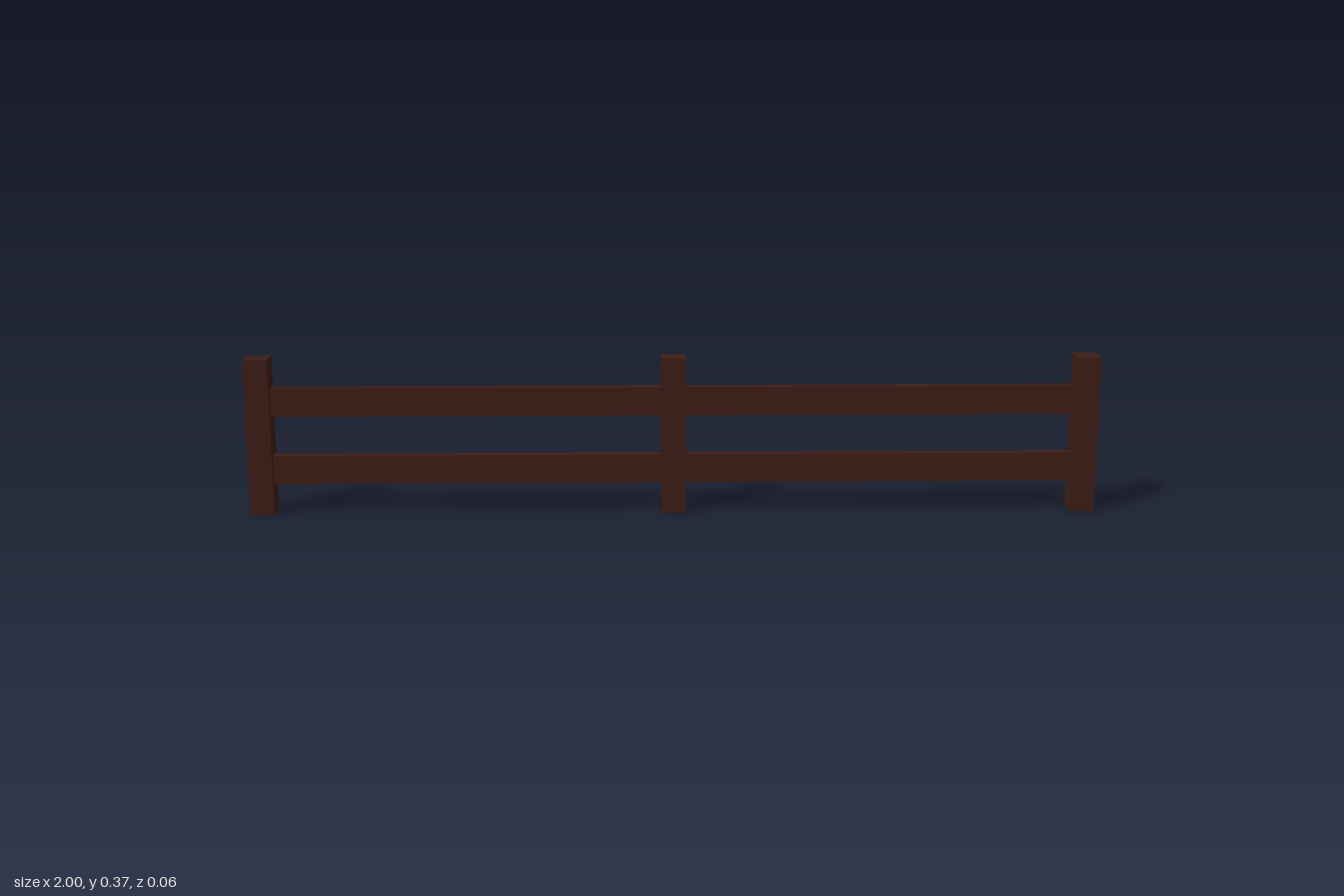
import * as THREE from 'three';

export function createModel() {
  const group = new THREE.Group();
  const wood = new THREE.MeshStandardMaterial({ color: 0x3d1d16 });
  const postWidth = 0.057, postHeight = 0.373;
  const postX = 1 - postWidth / 2;

  function addBeam(name, size, position) {
    const mesh = new THREE.Mesh(new THREE.BoxGeometry(...size), wood);
    mesh.name = name;
    mesh.position.set(...position);
    group.add(mesh);
  }

  // Three square posts
  [['rightPost', -postX], ['middlePost', 0], ['leftPost', postX]].forEach(([name, x]) =>
    addBeam(name, [postWidth, postHeight, postWidth], [x, postHeight / 2, 0]));

  // Two rails in each bay, ending inside the posts
  [['right', -1], ['left', 1]].forEach(([side, sign]) => {
    [['LowerRail', 0.106], ['UpperRail', 0.268]].forEach(([name, y]) =>
      addBeam(side + name, [postX, 0.068, 0.024], [sign * postX / 2, y, 0]));
  });

  return group;
}
